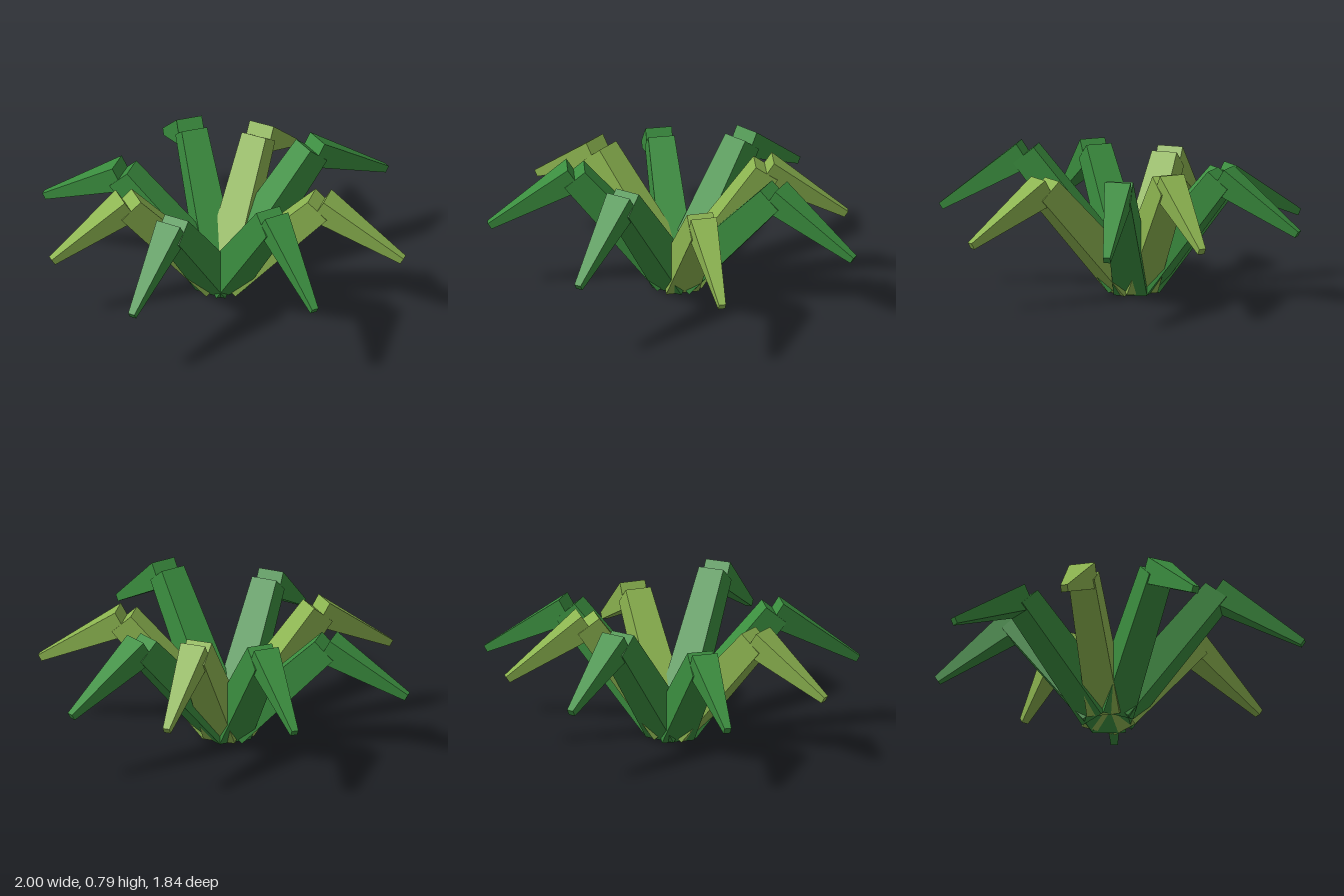
import * as THREE from 'three';

// Square bar in the local YZ plane, tapering from width w0 at a to width w1 at b ([y, z] points)
function taperedBar(name, a, b, w0, w1, material) {
  const dy = b[0] - a[0], dz = b[1] - a[1];
  const g = new THREE.CylinderGeometry(w1 * Math.SQRT1_2, w0 * Math.SQRT1_2, Math.hypot(dy, dz), 4, 1);
  g.rotateY(Math.PI / 4);
  g.rotateX(Math.atan2(dz, dy));
  g.translate(0, (a[0] + b[0]) / 2, (a[1] + b[1]) / 2);
  const mesh = new THREE.Mesh(g, material);
  mesh.name = name;
  return mesh;
}

export function createModel() {
  const green = new THREE.MeshStandardMaterial({ color: 0x3b8e3f, flatShading: true });
  green.name = 'deep green';
  const lime = new THREE.MeshStandardMaterial({ color: 0x8cb450, flatShading: true });
  lime.name = 'light green';

  // Each leaf: tip x, tip z, tip height, bend radius, bend height, colour
  const leaves = [
    [-0.400, -0.865, 0.385, 0.517, 0.655, green],
    [0.282, -0.855, 0.380, 0.470, 0.665, lime],
    [0.800, -0.672, 0.375, 0.578, 0.652, green],
    [1.003, 0.180, 0.355, 0.562, 0.615, lime],
    [0.612, 0.845, 0.425, 0.583, 0.730, green],
    [-0.355, 0.940, 0.375, 0.553, 0.663, green],
    [-0.848, 0.442, 0.365, 0.533, 0.625, lime],
    [-0.972, -0.235, 0.340, 0.557, 0.577, green],
  ];

  const plant = new THREE.Group();
  plant.name = 'plant';
  leaves.forEach(([x, z, tipY, bendR, bendY, material]) => {
    const leaf = new THREE.Group();
    leaf.name = 'leaf';
    const bend = [bendY, bendR];
    leaf.add(
      taperedBar('leafStem', [0.06, 0.045], bend, 0.18, 0.142, material),
      taperedBar('leafBlade', bend, [tipY, Math.hypot(x, z)], 0.142, 0.038, material)
    );
    leaf.position.set(-0.015, 0, -0.04);
    leaf.rotation.y = Math.atan2(x, z);
    plant.add(leaf);
  });
  return plant;
}
